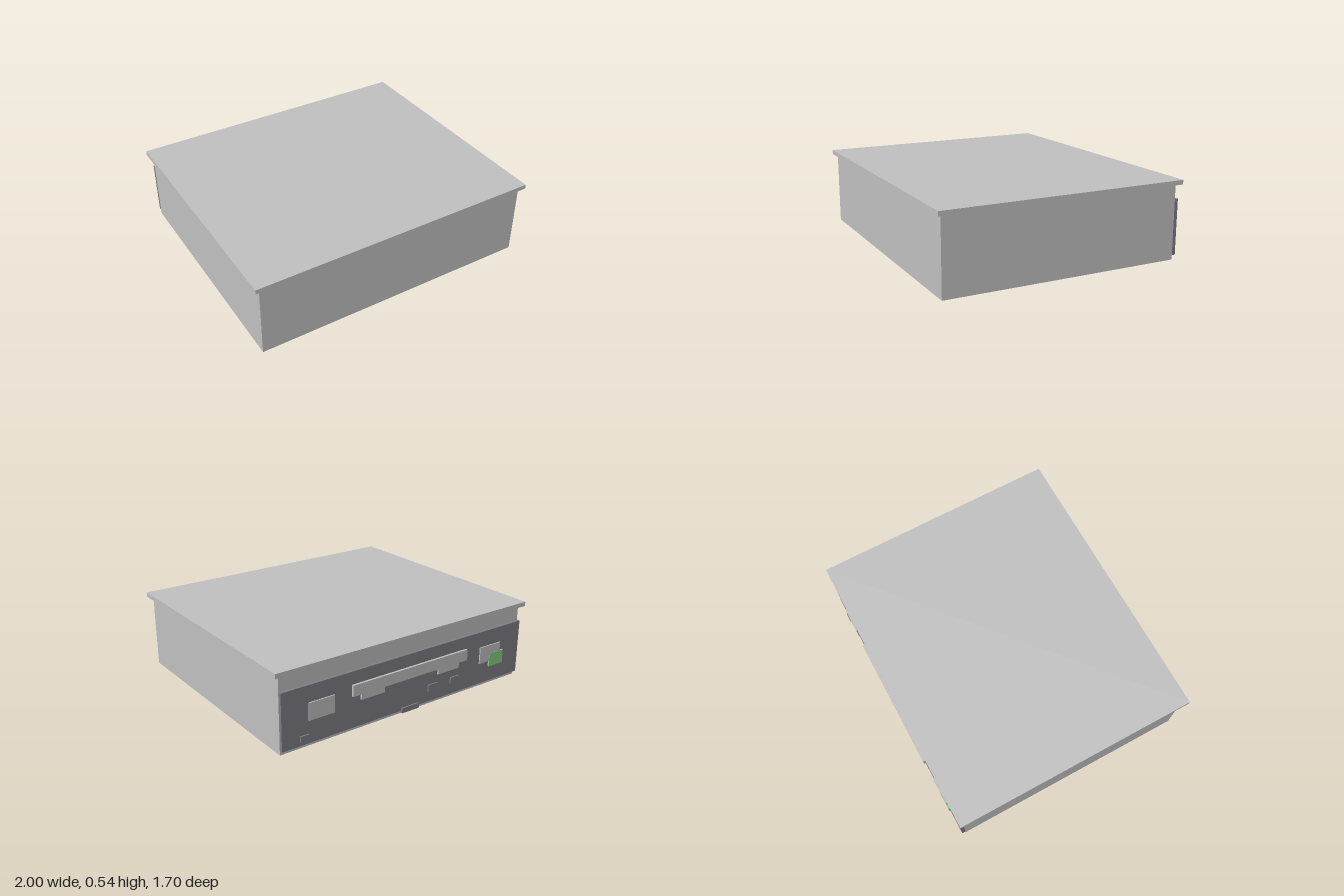
import * as THREE from 'three';

const material = (name, color) => {
  const m = new THREE.MeshStandardMaterial({ color });
  m.name = name;
  return m;
};

export function createModel() {
  const silver = material('silver casing', 0xc0c0c0);
  const slate = material('slate panel', 0x7d7d85);
  const green = material('green terminal', 0x88cc84);
  const model = new THREE.Group();
  model.name = 'panelComputer';

  // Box given by its limits on each axis
  const box = (name, mat, [x0, x1], [y0, y1], [z0, z1], parent = model) => {
    const mesh = new THREE.Mesh(new THREE.BoxGeometry(x1 - x0, y1 - y0, z1 - z0), mat);
    mesh.position.set((x0 + x1) / 2, (y0 + y1) / 2, (z0 + z1) / 2);
    mesh.name = name;
    parent.add(mesh);
  };

  // Housing with an overhanging flat lid
  box('housing', silver, [-0.965, 0.965], [0, 0.505], [-0.808, 0.82]);
  box('lid', silver, [-1, 1], [0.505, 0.535], [-0.838, 0.848]);

  // Connector panel on the back
  const rear = new THREE.Group();
  rear.name = 'rearConnectors';
  model.add(rear);
  const face = -0.832;
  box('connectorPanel', slate, [-0.965, 0.965], [0.03, 0.405], [face, -0.808], rear);

  // Long slot cover and the two sockets hanging below it
  box('slotCover', silver, [-0.467, 0.467], [0.245, 0.32], [-0.848, face], rear);
  for (const [x0, x1] of [[-0.4, -0.22], [0.22, 0.4]]) {
    box('slotSocket', silver, [x0, x1], [0.205, 0.245], [-0.842, face], rear);
  }

  // Square ports near both ends
  for (const [x0, x1] of [[-0.78, -0.595], [0.595, 0.78]]) {
    box('squarePort', silver, [x0, x1], [0.18, 0.295], [-0.84, face], rear);
  }

  // Green power terminal overlapping one port
  box('powerTerminal', green, [-0.81, -0.683], [0.14, 0.235], [-0.842, face], rear);

  // Small dark sockets
  for (const [x0, x1, y0, y1] of [
    [-0.22, -0.14, 0.105, 0.15],
    [-0.41, -0.335, 0.105, 0.15],
    [0.78, 0.84, 0.06, 0.095],
  ]) {
    box('smallSocket', slate, [x0, x1], [y0, y1], [-0.842, face], rear);
  }

  // Latch straddling the lower edge of the panel
  box('lowerLatch', slate, [-0.065, 0.075], [0.015, 0.05], [-0.842, -0.815], rear);

  return model;
}
